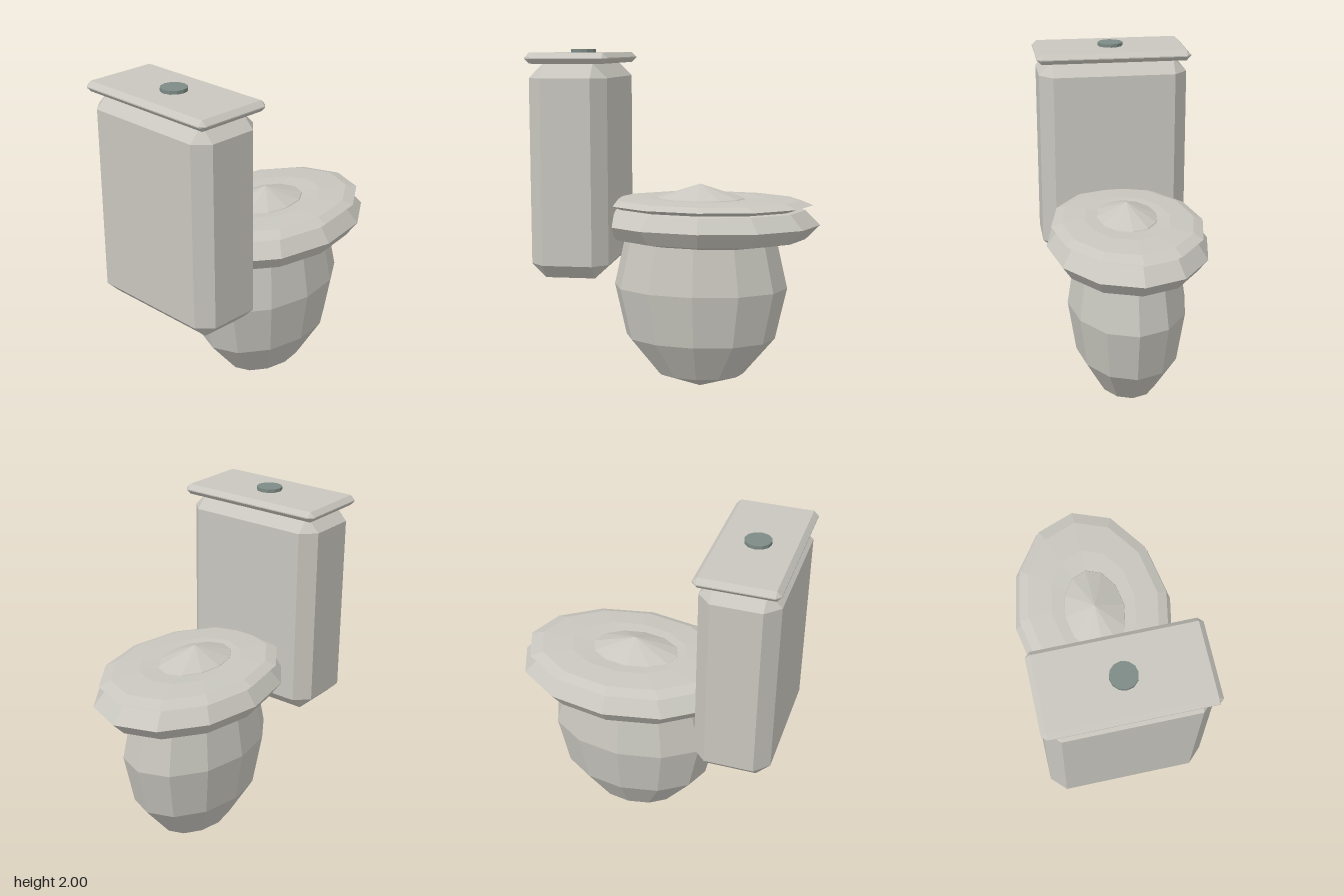
import * as THREE from 'three';
import { ConvexGeometry } from 'three/addons/geometries/ConvexGeometry.js';

const ceramic = new THREE.MeshStandardMaterial({ color: 0xc8c6be, flatShading: true });
ceramic.name = 'ceramic';
const metal = new THREE.MeshStandardMaterial({ color: 0x7d8a85, flatShading: true });
metal.name = 'buttonMetal';

// Box with every edge and corner cut by the same bevel
function bevelledBox(w, h, d, bevel) {
  const half = [w / 2, h / 2, d / 2];
  const points = [];
  for (const sx of [-1, 1]) for (const sy of [-1, 1]) for (const sz of [-1, 1]) {
    for (let axis = 0; axis < 3; axis++) {
      const [x, y, z] = half.map((s, i) => (i === axis ? s : s - bevel));
      points.push(new THREE.Vector3(x * sx, y * sy, z * sz));
    }
  }
  return new ConvexGeometry(points);
}

// Flattened oval ring lying in the horizontal plane
function ovalRing(radius, tube, halfHeight) {
  return new THREE.TorusGeometry(radius, tube, 8, 12)
    .rotateX(Math.PI / 2)
    .scale(0.71, halfHeight / tube, 1);
}

export function createModel() {
  const group = new THREE.Group();
  const add = (name, geometry, material, y, z) => {
    const mesh = new THREE.Mesh(geometry, material);
    mesh.name = name;
    mesh.position.set(0, y, z);
    group.add(mesh);
  };

  // Egg-shaped bowl whose tip shows through the lid
  add('bowl', new THREE.SphereGeometry(1, 12, 6).scale(0.35, 0.61, 0.515), ceramic, 0.61, -0.115);

  // Rim and closed lid
  add('rim', ovalRing(0.375, 0.285, 0.12), ceramic, 0.99, -0.155);
  add('seatLid', ovalRing(0.35, 0.27, 0.035), ceramic, 1.105, -0.155);

  // Cistern with its cover and flush button
  add('tank', bevelledBox(0.89, 1.21, 0.445, 0.08), ceramic, 1.315, 0.583);
  add('tankCover', bevelledBox(0.92, 0.06, 0.468, 0.027), ceramic, 1.95, 0.577);
  add('flushButton', new THREE.CylinderGeometry(0.075, 0.075, 0.02, 12), metal, 1.99, 0.577);

  return group;
}
